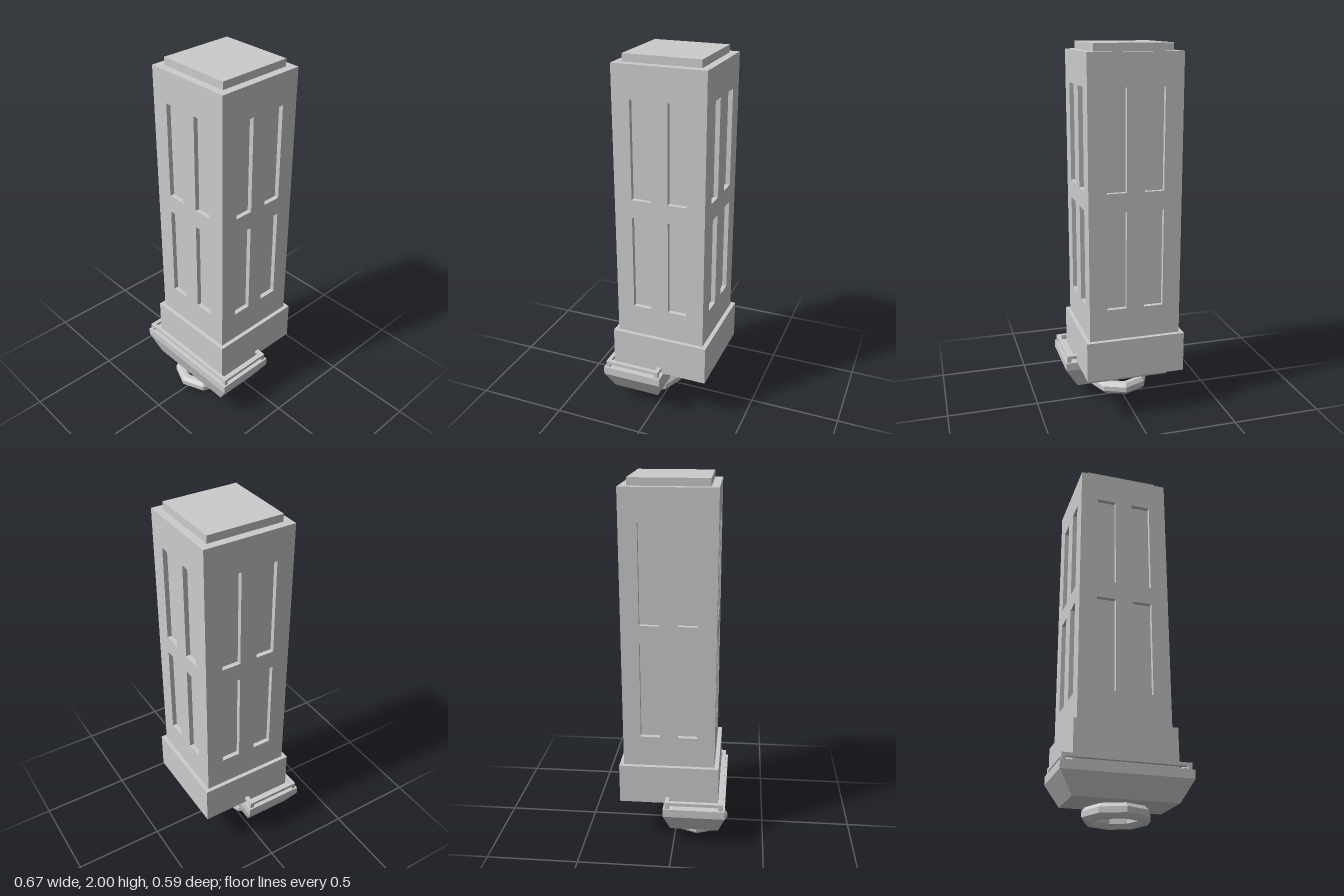
import * as THREE from 'three';

const mat = new THREE.MeshStandardMaterial({ color: 0xcccccc, flatShading: true });

function add(parent, name, geometry, x = 0, y = 0, z = 0) {
  const mesh = new THREE.Mesh(geometry, mat);
  mesh.name = name;
  mesh.position.set(x, y, z);
  parent.add(mesh);
  return mesh;
}

// Box given by its centre in plan and its bottom and top heights
function block(parent, name, w, d, y0, y1, x, z) {
  return add(parent, name, new THREE.BoxGeometry(w, y1 - y0, d), x, (y0 + y1) / 2, z);
}

function rect(Type, x0, y0, x1, y1) {
  const p = new Type();
  p.moveTo(x0, y0);
  p.lineTo(x1, y0);
  p.lineTo(x1, y1);
  p.lineTo(x0, y1);
  p.closePath();
  return p;
}

// Square shaft: a core wrapped by four panels with window openings
function createTower() {
  const tower = new THREE.Group();
  tower.name = 'tower';
  tower.position.set(0.003, 0, -0.026);
  const half = 0.248, t = 0.025, y0 = 0.47, y1 = 1.96;

  block(tower, 'base', 0.54, 0.543, 0.25, y0, 0, 0);
  block(tower, 'shaftCore', 2 * (half - t), 2 * (half - t), y0, y1, 0, 0);
  block(tower, 'cap', 0.411, 0.413, y1, 2, 0, 0);

  // Panels overlap in a pinwheel so that each corner is covered once
  const shape = rect(THREE.Shape, -half, y0, half - t, y1);
  for (const x of [-0.1, 0.1]) {
    for (const y of [0.64, 1.265]) {
      shape.holes.push(rect(THREE.Path, x - 0.052, y, x + 0.052, y + 0.525));
    }
  }
  const panel = new THREE.ExtrudeGeometry(shape, { depth: t, bevelEnabled: false });
  panel.translate(0, 0, half - t);
  for (let i = 0; i < 4; i++) {
    add(tower, 'windowPanel', panel).rotation.y = i * Math.PI / 2;
  }
  return tower;
}

// Tray with straight upper sides and a tapered underside
function createTray() {
  const tray = new THREE.Group();
  tray.name = 'tray';
  tray.position.set(0, 0, 0.116);

  const body = new THREE.BoxGeometry(0.674, 2, 0.338, 1, 2, 1);
  const p = body.attributes.position;
  const levels = [0.09, 0.205, 0.25];
  for (let i = 0; i < p.count; i++) {
    const level = Math.round(p.getY(i)) + 1;
    p.setY(i, levels[level]);
    if (level === 0) {
      p.setX(i, p.getX(i) * 0.795);
      p.setZ(i, p.getZ(i) * 0.79);
    }
  }
  body.computeVertexNormals();
  add(tray, 'trayBody', body);

  // Open railing: a flat frame on four corner posts
  const ox = 0.328, oz = 0.158, w = 0.022;
  const frame = rect(THREE.Shape, -ox, -oz, ox, oz);
  frame.holes.push(rect(THREE.Path, -ox + w, -oz + w, ox - w, oz - w));
  const rail = new THREE.ExtrudeGeometry(frame, { depth: 0.018, bevelEnabled: false });
  rail.rotateX(-Math.PI / 2);
  add(tray, 'rail', rail, 0, 0.269, 0);
  for (const sx of [-1, 1]) {
    for (const sz of [-1, 1]) {
      block(tray, 'railPost', w, w, 0.25, 0.269, sx * (ox - w / 2), sz * (oz - w / 2));
    }
  }
  return tray;
}

// Eight-sided ring with a chamfered section
function createRing(parent) {
  const profile = [];
  for (let i = 0; i <= 8; i++) {
    const a = (i - 0.5) * Math.PI / 4;
    const k = 1 / Math.cos(Math.PI / 8);
    profile.push(new THREE.Vector2(0.143 + 0.031 * k * Math.cos(a), 0.035 * k * Math.sin(a)));
  }
  add(parent, 'ring', new THREE.LatheGeometry(profile, 8), -0.015, 0.035, 0.122);
}

export function createModel() {
  const model = new THREE.Group();
  model.name = 'towerModel';
  model.add(createTower(), createTray());
  createRing(model);
  return model;
}
